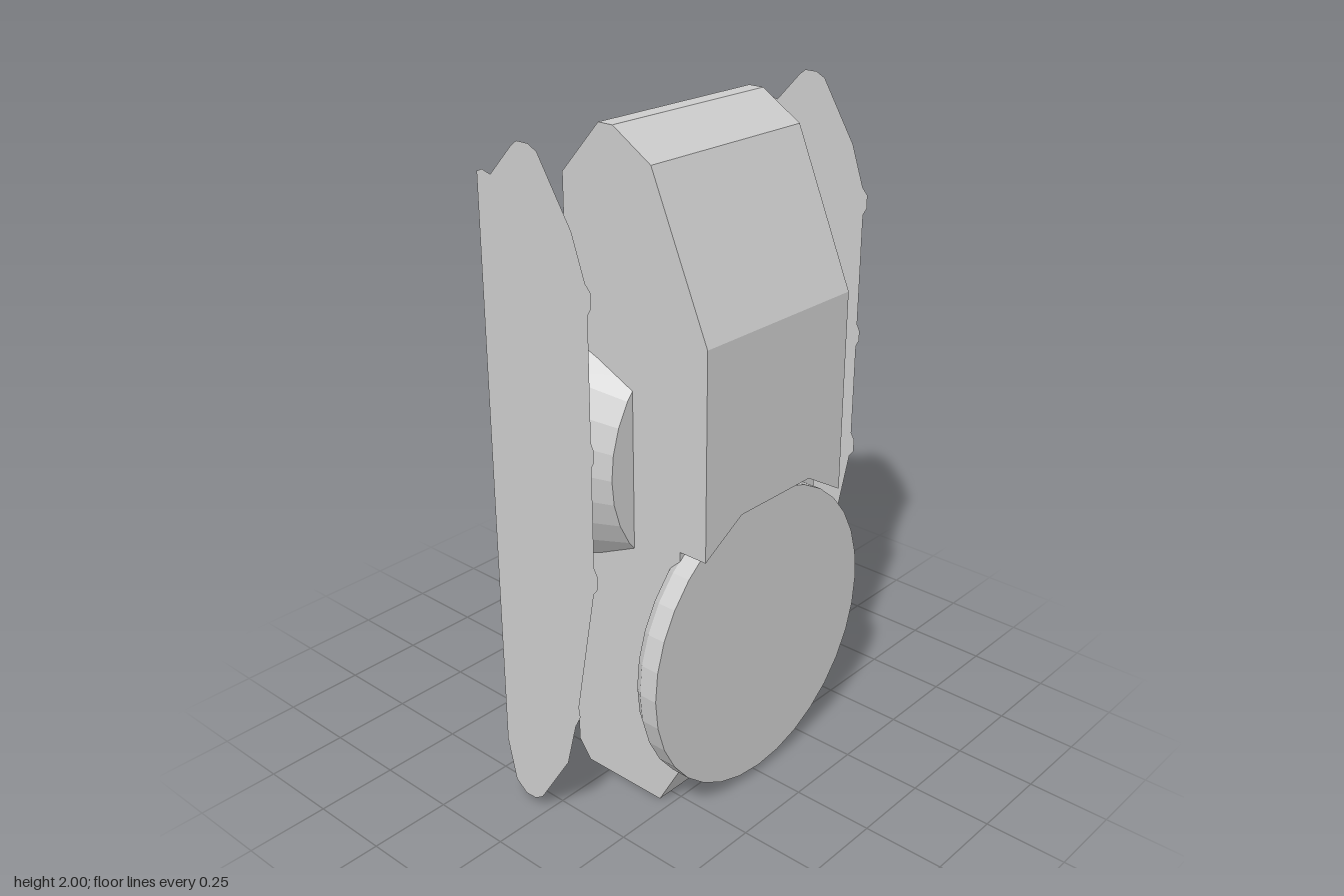
import * as THREE from 'three';

const grey = new THREE.MeshStandardMaterial({ color: 0xcccccc, flatShading: true });
grey.name = 'grey';
grey.side = THREE.DoubleSide;

const toShape = (pts) => new THREE.Shape(pts.map(([a, b]) => new THREE.Vector2(a, b)));

// Extrude a (z, y) profile across x, centred on cx
function slab(pts, width, cx = 0) {
  const g = new THREE.ExtrudeGeometry(toShape(pts), { depth: width, bevelEnabled: false });
  g.translate(0, 0, -width / 2);
  g.rotateY(-Math.PI / 2);
  g.translate(cx, 0, 0);
  return g;
}

// Revolve a (radius, z) profile about a z-parallel axis at height y
function round(pts, y) {
  const g = new THREE.LatheGeometry(pts.map(([r, z]) => new THREE.Vector2(r, z)), 32);
  g.rotateX(Math.PI / 2);
  g.translate(0, y, 0);
  return g;
}

export function createModel() {
  const model = new THREE.Group();
  const add = (name, geometry) => {
    const mesh = new THREE.Mesh(geometry, grey);
    mesh.name = name;
    model.add(mesh);
    return mesh;
  };

  // Main hull, with an overhanging upper front
  add('body', slab([
    [-0.08, 0], [0.21, 0], [0.288, 0.14], [0.288, 0.957], [0.38, 0.957], [0.38, 1.48],
    [0.19, 1.92], [0.06, 2], [0.01, 2], [-0.125, 1.85], [-0.125, 0.06],
  ], 0.6));

  // Corners of the overhang that wrap the front disc
  for (const s of [-1, 1]) {
    const g = new THREE.ExtrudeGeometry(
      toShape([[0.15 * s, 0.957], [0.3 * s, 0.868], [0.3 * s, 0.957]]),
      { depth: 0.092, bevelEnabled: false });
    g.translate(0, 0, 0.288);
    add('overhangCorner', g);
  }

  // Front disc with a domed back
  add('frontDisc', round([
    [0, 0.16], [0.15, 0.17], [0.3, 0.195], [0.38, 0.222], [0.44, 0.255],
    [0.463, 0.287], [0.463, 0.345], [0, 0.345],
  ], 0.488));

  // Tapered drum passing through the back
  add('backDrum', round([
    [0, -0.255], [0.46, -0.255], [0.46, -0.13], [0.385, 0.118], [0, 0.118],
  ], 1.057));

  // Thin side panels standing off the body
  const panel = [
    [0.04, 2], [0.07, 1.985], [0.18, 1.81], [0.222, 1.69], [0.24, 1.67], [0.24, 1.63], [0.228, 1.61],
    [0.228, 1.27], [0.238, 1.25], [0.238, 1.22], [0.228, 1.2],
    [0.228, 0.91], [0.24, 0.89], [0.24, 0.85], [0.225, 0.83], [0.155, 0.44], [0.16, 0.41], [0.14, 0.37],
    [0.105, 0.23], [-0.01, 0.05], [-0.04, 0.03], [-0.08, 0.028], [-0.12, 0.06], [-0.15, 0.19],
    [-0.15, 1.9], [-0.13, 1.908], [-0.1, 1.9], [-0.02, 1.985], [0, 2],
  ];
  for (const s of [-1, 1]) {
    const g = new THREE.ShapeGeometry(toShape(panel));
    g.rotateY(-Math.PI / 2);
    g.translate(0.57 * s, 0, 0);
    add(s > 0 ? 'leftPanel' : 'rightPanel', g);
  }

  // Carry handle above the drum: two brackets and a bar
  for (const s of [-1, 1]) {
    add('handleBracket', slab([
      [-0.12, 1.44], [-0.12, 1.6], [-0.15, 1.59], [-0.205, 1.545], [-0.213, 1.52], [-0.213, 1.46],
    ], 0.037, 0.184 * s));
  }
  add('handleBar', slab([
    [-0.135, 1.5], [-0.135, 1.53], [-0.165, 1.53], [-0.2, 1.505], [-0.2, 1.46], [-0.165, 1.46],
  ], 0.34));

  // Clip on the drum: a hood flaring downwards
  const hood = new THREE.BoxGeometry(2, 0.1, 1);
  const p = hood.attributes.position;
  for (let i = 0; i < p.count; i++) {
    const low = p.getY(i) < 0;
    const back = p.getZ(i) < 0;
    p.setXYZ(i, p.getX(i) * (low ? 0.14 : 0.105), low ? 1.245 : 1.34,
      back ? (low ? -0.345 : -0.318) : -0.25);
  }
  add('clipHood', hood);
  add('clipFlap', slab([
    [-0.325, 1.265], [-0.345, 1.265], [-0.382, 1.2], [-0.378, 1.188], [-0.345, 1.215],
  ], 0.326));

  // Clip side arms and their small pins
  for (const s of [-1, 1]) {
    add('clipArm', slab([
      [-0.25, 1.225], [-0.25, 1.265], [-0.34, 1.255], [-0.345, 1.215],
    ], 0.02, 0.145 * s));
    const pin = new THREE.CylinderGeometry(0.012, 0.012, 0.05, 8);
    pin.translate(0.126 * s, 1.255, -0.312);
    add('clipPin', pin);
  }
  return model;
}
